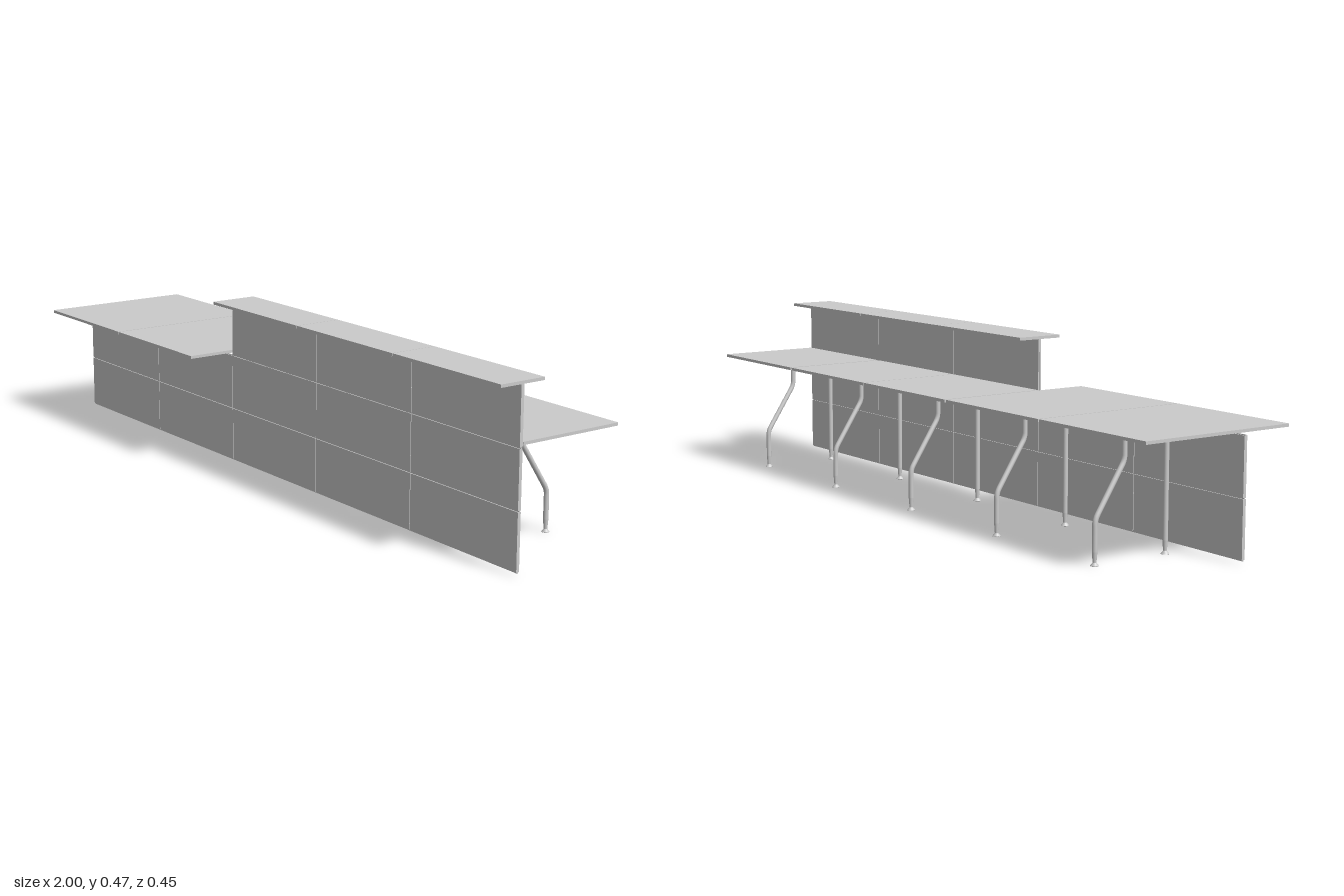
import * as THREE from 'three';

export function createModel() {
  const model = new THREE.Group();
  const material = new THREE.MeshStandardMaterial({ color: 0xcccccc });

  const add = (name, geometry, parent = model) => {
    const mesh = new THREE.Mesh(geometry, material);
    mesh.name = name;
    parent.add(mesh);
    return mesh;
  };
  // Box given by its limits on each axis
  const slab = (name, x0, x1, y0, y1, z0, z1) => {
    const mesh = add(name, new THREE.BoxGeometry(x1 - x0, y1 - y0, z1 - z0));
    mesh.position.set((x0 + x1) / 2, (y0 + y1) / 2, (z0 + z1) / 2);
  };

  // Desktops: two deep ones, then three shallow ones that stop at the screen
  const deskY = [0.319, 0.327];
  slab('deepDesktop', -1, -0.602, ...deskY, -0.225, 0.225);
  slab('deepDesktop', -0.598, -0.204, ...deskY, -0.225, 0.225);
  slab('desktop', -0.198, 0.198, ...deskY, -0.225, 0.08);
  slab('desktop', 0.202, 0.596, ...deskY, -0.225, 0.08);
  slab('desktop', 0.604, 1, ...deskY, -0.225, 0.08);

  // Raised counter tops
  for (const x of [-0.2, 0.2, 0.6])
    slab('counterTop', x + 0.001, x + 0.399, 0.465, 0.473, 0.018, 0.152);

  // Screen panels in rows, with narrow seams
  const rows = [[0.01, 0.158], [0.161, 0.311], [0.314, 0.465]];
  const columns = [[-1, -0.6, 2], [-0.6, -0.2, 2], [-0.2, 0.2, 3], [0.2, 0.6, 3], [0.6, 1, 3]];
  for (const [x0, x1, count] of columns)
    for (const [y0, y1] of rows.slice(0, count))
      slab('screenPanel', x0 + 0.001, x1 - 0.001, y0, y1, 0.0805, 0.0895);
  // Thin core behind the seams
  slab('screenCore', -0.999, -0.2, 0.007, 0.313, 0.0835, 0.0865);
  slab('screenCore', -0.2, 0.999, 0.007, 0.465, 0.0835, 0.0865);

  // Lower leg: flared foot and tapered ankle
  const footGeometry = new THREE.LatheGeometry([
    [0, 0], [0.0105, 0], [0.0105, 0.001], [0.005, 0.0075], [0.0048, 0.009], [0.0068, 0.034],
  ].map(([r, y]) => new THREE.Vector2(r, y)), 16);

  const v = (y, z) => new THREE.Vector3(0, y, z);
  const straightGeometry = new THREE.CylinderGeometry(0.0068, 0.0068, 0.286, 16, 1, true);
  straightGeometry.translate(0, 0.177, 0);

  // Cranked leg path, measured from its foot
  const path = new THREE.CurvePath();
  path.add(new THREE.LineCurve3(v(0.034, 0), v(0.098, 0)));
  path.add(new THREE.QuadraticBezierCurve3(v(0.098, 0), v(0.111, 0), v(0.122, 0.007)));
  path.add(new THREE.LineCurve3(v(0.122, 0.007), v(0.235, 0.0815)));
  path.add(new THREE.QuadraticBezierCurve3(v(0.235, 0.0815), v(0.246, 0.0885), v(0.259, 0.0885)));
  path.add(new THREE.LineCurve3(v(0.259, 0.0885), v(0.32, 0.0885)));
  const crankedGeometry = new THREE.TubeGeometry(path, 40, 0.0068, 16);

  // One pair of legs per desk, drifting slightly along the row
  for (let i = 0; i < 5; i++) {
    const x = -0.807 + i * 0.3985;
    const drift = i * 0.0035;
    const pair = [['straightLeg', straightGeometry, 0.0072], ['crankedLeg', crankedGeometry, -0.2135]];
    for (const [name, geometry, z] of pair) {
      const leg = new THREE.Group();
      leg.name = name;
      add('legTube', geometry, leg);
      add('foot', footGeometry, leg);
      leg.position.set(x, 0, z + drift);
      model.add(leg);
    }
  }
  return model;
}
